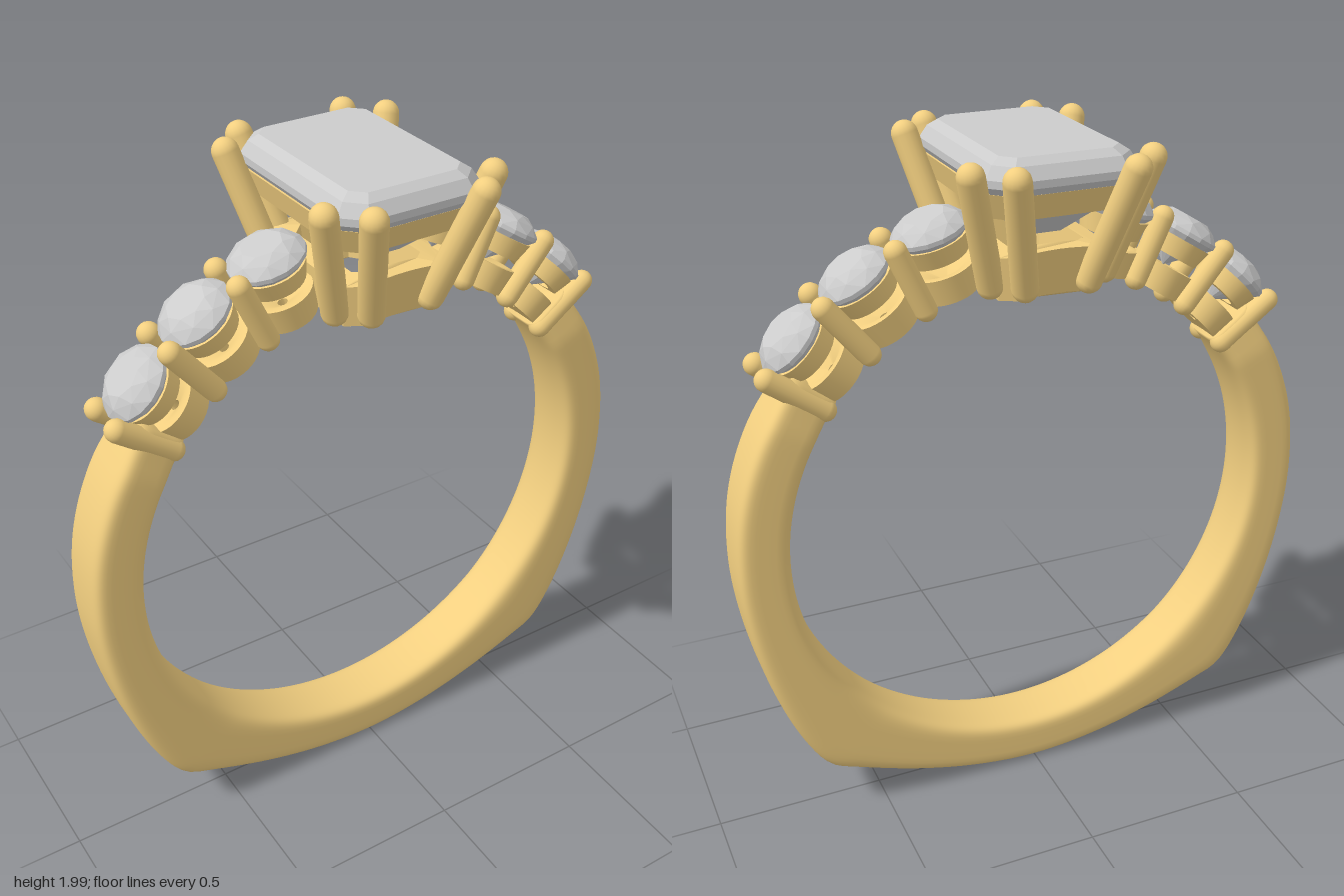
import * as THREE from 'three';
import { toCreasedNormals } from 'three/addons/utils/BufferGeometryUtils.js';
import { ConvexGeometry } from 'three/addons/geometries/ConvexGeometry.js';

const gold = new THREE.MeshStandardMaterial({ color: 0xf2cf80 });
const gem = new THREE.MeshStandardMaterial({ color: 0xcccccc });
const CY = 0.887;   // height of the finger hole's centre
const R = 0.73;     // radius of the finger hole
const V = (x, y, z) => new THREE.Vector3(x, y, z);

function add(parent, name, geometry, material = gold) {
  const mesh = new THREE.Mesh(geometry, material);
  mesh.name = name;
  parent.add(mesh);
  return mesh;
}

// Round-ended rod between two points
function rod(parent, name, a, b, radius) {
  const mesh = add(parent, name, new THREE.CapsuleGeometry(radius, a.distanceTo(b), 6, 16));
  mesh.position.copy(a).lerp(b, 0.5);
  mesh.quaternion.setFromUnitVectors(V(0, 1, 0), b.clone().sub(a).normalize());
}

// Rectangle with cut corners, edges subdivided so that it can be bent
function cutRect(hx, hz, cut, sub = 1) {
  const c = [[hx, hz - cut], [hx - cut, hz], [cut - hx, hz], [-hx, hz - cut],
    [-hx, cut - hz], [cut - hx, -hz], [hx - cut, -hz], [hx, cut - hz]]
    .map(([x, y]) => new THREE.Vector2(x, y));
  return c.flatMap((p, i) => Array.from({ length: sub }, (_, k) => p.clone().lerp(c[(i + 1) % 8], k / sub)));
}

// Band: rounded-rectangle section swept round the hole, shoulders at the base
function shankGeometry() {
  const half = [[0.685, 1.44], [0.8, 1.257], [0.862, 1.08], [0.881, 0.88], [0.865, 0.7], [0.82, 0.5],
    [0.755, 0.32], [0.692, 0.205], [0.655, 0.168], [0.6, 0.145], [0.4, 0.075], [0.2, 0.028]];
  const pts = [...half, [0, 0.01], ...half.map(([x, y]) => [-x, y]).reverse()];
  const path = new THREE.CatmullRomCurve3(pts.map(([x, y]) => V(x, y, 0)), false, 'centripetal');
  const N = 150, M = 40, pos = [], idx = [];
  const round = (v) => Math.sign(v) * Math.abs(v) ** 0.4;
  for (let i = -1; i <= N + 1; i++) {
    const t = THREE.MathUtils.clamp(i / N, 0, 1);
    const d = path.getPointAt(t).sub(V(0, CY, 0));
    const outer = d.length();
    d.normalize();
    const size = i < 0 || i > N ? 0 : 1;                       // closed ends
    const taper = 0.8 + 0.2 * Math.min(1, Math.min(t, 1 - t) / 0.035);
    for (let j = 0; j < M; j++) {
      const a = ((j + 0.5) / M) * Math.PI * 2;
      const r = (outer + R) / 2 + size * (outer - R) / 2 * round(Math.cos(a));
      pos.push(d.x * r, CY + d.y * r, size * 0.095 * taper * round(Math.sin(a)));
      if (i <= N) {
        const p = (i + 1) * M + j, q = (i + 1) * M + (j + 1) % M;
        idx.push(p, q, p + M, q, q + M, p + M);
      }
    }
  }
  const g = new THREE.BufferGeometry();
  g.setAttribute('position', new THREE.Float32BufferAttribute(pos, 3));
  g.setIndex(idx);
  g.computeVertexNormals();
  return g;
}

// Frame under the centre stone: flared by `flare`, optionally bent to the hole
function railGeometry(hx, hz, cut, wall, y0, y1, flare, bend) {
  const shape = new THREE.Shape(cutRect(hx, hz, cut, 8));
  shape.holes.push(new THREE.Path(cutRect(hx - wall, hz - wall, cut * 0.7, 8)));
  const g = new THREE.ExtrudeGeometry(shape, { depth: y1 - y0, bevelEnabled: false });
  g.rotateX(-Math.PI / 2);
  const p = g.attributes.position;
  for (let i = 0; i < p.count; i++) {
    const s = 1 + flare * p.getY(i) / (y1 - y0);
    const x = p.getX(i) * s;
    const drop = bend ? R - Math.sqrt(R * R - x * x) : 0;
    p.setXYZ(i, x, y0 + p.getY(i) - drop, p.getZ(i) * s);
  }
  g.computeVertexNormals();
  return g;
}

// Step-cut centre stone
function centreStoneGeometry() {
  const steps = [[2, 0.165, 0.25, 0.035], [1.983, 0.19, 0.275, 0.045], [1.95, 0.21, 0.295, 0.055],
    [1.93, 0.21, 0.295, 0.055], [1.84, 0.145, 0.225, 0.04], [1.765, 0.06, 0.14, 0.02]];
  return new ConvexGeometry(steps.flatMap(([y, hx, hz, c]) => cutRect(hx, hz, c).map((p) => V(p.x, y, p.y))));
}

// Round faceted stone, girdle at y = 0
function roundStoneGeometry() {
  const ring = (n, r, y, off = 0) => Array.from({ length: n }, (_, i) => {
    const a = ((i + off) / n) * Math.PI * 2;
    return V(Math.cos(a) * r, y, Math.sin(a) * r);
  });
  return new ConvexGeometry([...ring(8, 0.058, 0.045), ...ring(8, 0.087, 0.03, 0.5),
    ...ring(16, 0.108, 0.006), ...ring(16, 0.108, -0.006), ...ring(8, 0.06, -0.055, 0.5), V(0, -0.11, 0)]);
}

function lathe(points) {
  const v = [...points, points[0]].map(([r, y]) => new THREE.Vector2(r, y));
  return toCreasedNormals(new THREE.LatheGeometry(v, 32), 0.6);
}

export function createModel() {
  const model = new THREE.Group();
  model.name = 'ring';
  add(model, 'shank', shankGeometry());

  // Centre setting
  const head = new THREE.Group();
  head.name = 'centreSetting';
  model.add(head);
  add(head, 'centreStone', centreStoneGeometry(), gem);
  add(head, 'upperRail', railGeometry(0.18, 0.25, 0.05, 0.04, 1.84, 1.91, 0.12, false));
  add(head, 'baseRail', railGeometry(0.145, 0.2, 0.04, 0.05, 1.617, 1.745, 0.12, true));
  for (const sx of [1, -1]) for (const sz of [1, -1]) {
    rod(head, 'centreProng', V(sx * 0.092, 1.645, sz * 0.21), V(sx * 0.163, 1.962, sz * 0.328), 0.037);
    rod(head, 'centreProng', V(sx * 0.165, 1.645, sz * 0.15), V(sx * 0.25, 1.962, sz * 0.243), 0.037);
  }

  // Shoulder stones with their cups and shared prongs
  const stone = roundStoneGeometry();
  const collar = lathe([[0.06, 0.845], [0.085, 0.845], [0.1, 0.9], [0.085, 0.9]]);
  const cup = lathe([[0.014, 0.742], [0.086, 0.738], [0.094, 0.815], [0.075, 0.815], [0.014, 0.775]]);
  for (const side of [1, -1]) {
    for (let i = 0; i < 3; i++) {
      const seat = new THREE.Group();
      seat.name = 'shoulderSetting';
      seat.position.y = CY;
      seat.rotation.z = -side * THREE.MathUtils.degToRad(46.4 - i * 14.5);
      model.add(seat);
      add(seat, 'shoulderStone', stone, gem).position.y = 0.921;
      add(seat, 'collar', collar);
      add(seat, 'cup', cup);
      const a = THREE.MathUtils.degToRad(36.4 + i * 14.5);
      const at = (r, z) => V(side * Math.cos(a) * r, CY + Math.sin(a) * r, z);
      for (const z of [0.06, -0.06]) rod(model, 'shoulderProng', at(0.75, z), at(0.935, z), 0.032);
    }
  }
  return model;
}
